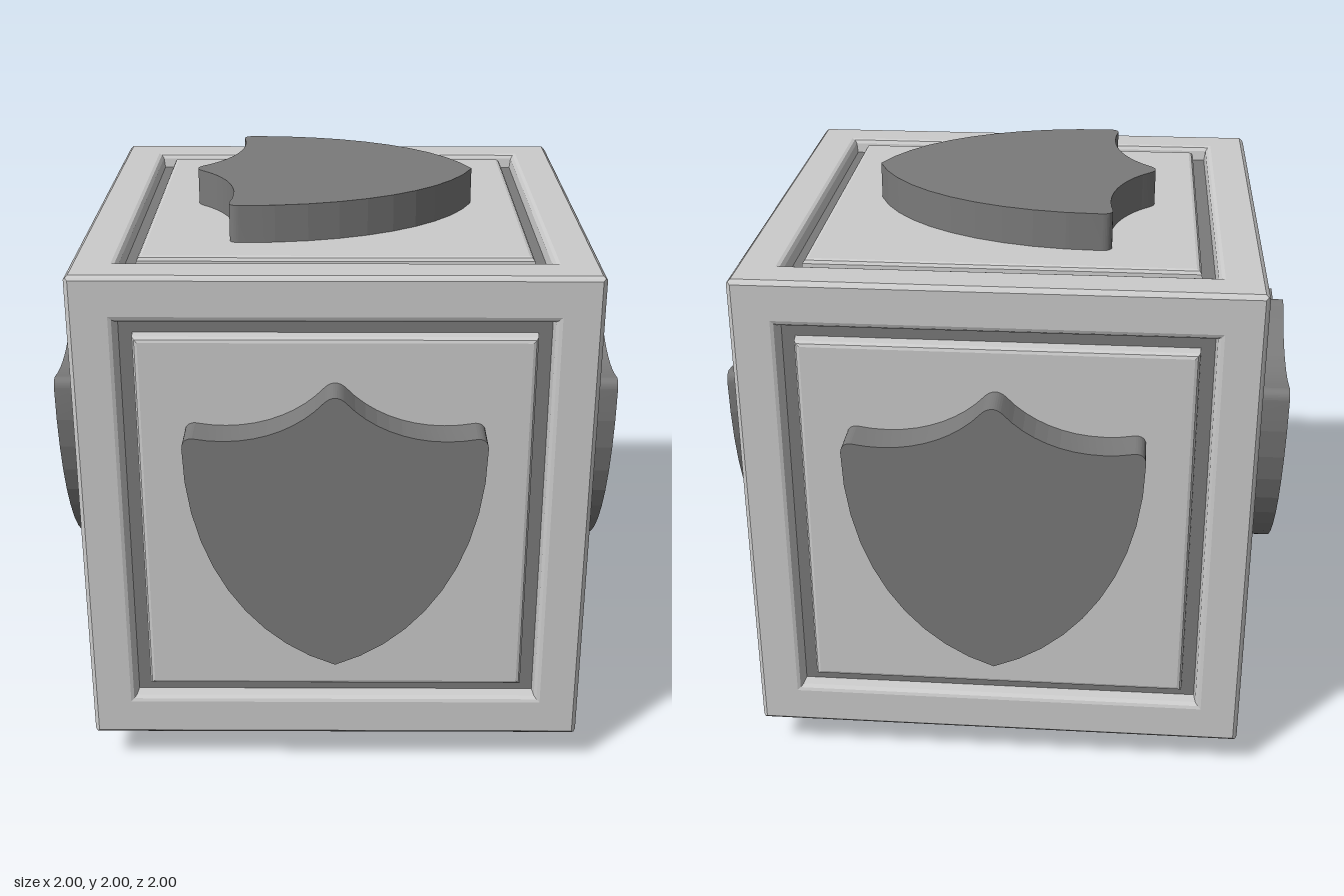
import * as THREE from 'three';
import { toCreasedNormals } from 'three/addons/utils/BufferGeometryUtils.js';

const light = new THREE.MeshStandardMaterial({ color: 0xcccccc, flatShading: true });
const dark = new THREE.MeshStandardMaterial({ color: 0x7a7a7a });

// Square ring swept from a profile of [half width, height], facing +z
function squareSweep(profile) {
  const points = profile.map(([half, h]) => new THREE.Vector2(half * Math.SQRT2, h));
  const geo = new THREE.LatheGeometry(points, 4);
  geo.rotateY(Math.PI / 4);
  geo.rotateX(Math.PI / 2);
  return geo;
}

// Shield outline: pointed crest, two concave shoulders, sides curving to the foot
function shieldGeometry() {
  const s = new THREE.Shape();
  s.moveTo(0, -0.495);
  s.bezierCurveTo(0.3, -0.395, 0.5, -0.08, 0.5, 0.325);
  s.quadraticCurveTo(0.5, 0.363, 0.465, 0.363);
  s.bezierCurveTo(0.29, 0.33, 0.13, 0.385, 0.035, 0.49);
  s.quadraticCurveTo(0, 0.523, -0.035, 0.49);
  s.bezierCurveTo(-0.13, 0.385, -0.29, 0.33, -0.465, 0.363);
  s.quadraticCurveTo(-0.5, 0.363, -0.5, 0.325);
  s.bezierCurveTo(-0.5, -0.08, -0.3, -0.395, 0, -0.495);
  const geo = new THREE.ExtrudeGeometry(s, { depth: 0.16, bevelEnabled: false, curveSegments: 10 });
  geo.translate(0, 0, 0.84);
  return toCreasedNormals(geo, 0.1);
}

export function createModel() {
  const model = new THREE.Group();
  model.name = 'shieldCube';

  // Chamfered outer border with a rounded inner lip
  const frameGeo = squareSweep([
    [0.865, 0.865], [0.857, 0.872], [0.735, 0.872], [0.724, 0.868], [0.715, 0.856], [0.71, 0.82],
  ]);
  // Centre panel, flush with the border, with a rounded rim
  const panelGeo = squareSweep([
    [0.665, 0.815], [0.662, 0.856], [0.655, 0.866], [0.645, 0.87], [0, 0.87],
  ]);
  const shieldGeo = shieldGeometry();

  // Dark core, seen as the groove floor
  const core = new THREE.Mesh(new THREE.BoxGeometry(1.64, 1.64, 1.64), dark);
  core.name = 'core';
  model.add(core);

  // Each side: name, outward normal, direction of the shield crest
  const sides = [
    ['front', [0, 0, 1], [0, 1, 0]],
    ['back', [0, 0, -1], [0, 1, 0]],
    ['left', [1, 0, 0], [0, 1, 0]],
    ['right', [-1, 0, 0], [0, 1, 0]],
    ['top', [0, 1, 0], [-1, 0, 0]],
    ['bottom', [0, -1, 0], [-1, 0, 0]],
  ];
  for (const [name, n, u] of sides) {
    const normal = new THREE.Vector3(...n);
    const up = new THREE.Vector3(...u);
    const across = up.clone().cross(normal);
    const side = new THREE.Group();
    side.name = name + 'Side';
    side.quaternion.setFromRotationMatrix(new THREE.Matrix4().makeBasis(across, up, normal));
    for (const [part, geo, mat] of [
      ['Frame', frameGeo, light], ['Panel', panelGeo, light], ['Shield', shieldGeo, dark],
    ]) {
      const mesh = new THREE.Mesh(geo, mat);
      mesh.name = name + part;
      side.add(mesh);
    }
    model.add(side);
  }

  model.position.y = 1;
  const root = new THREE.Group();
  root.add(model);
  return root;
}
